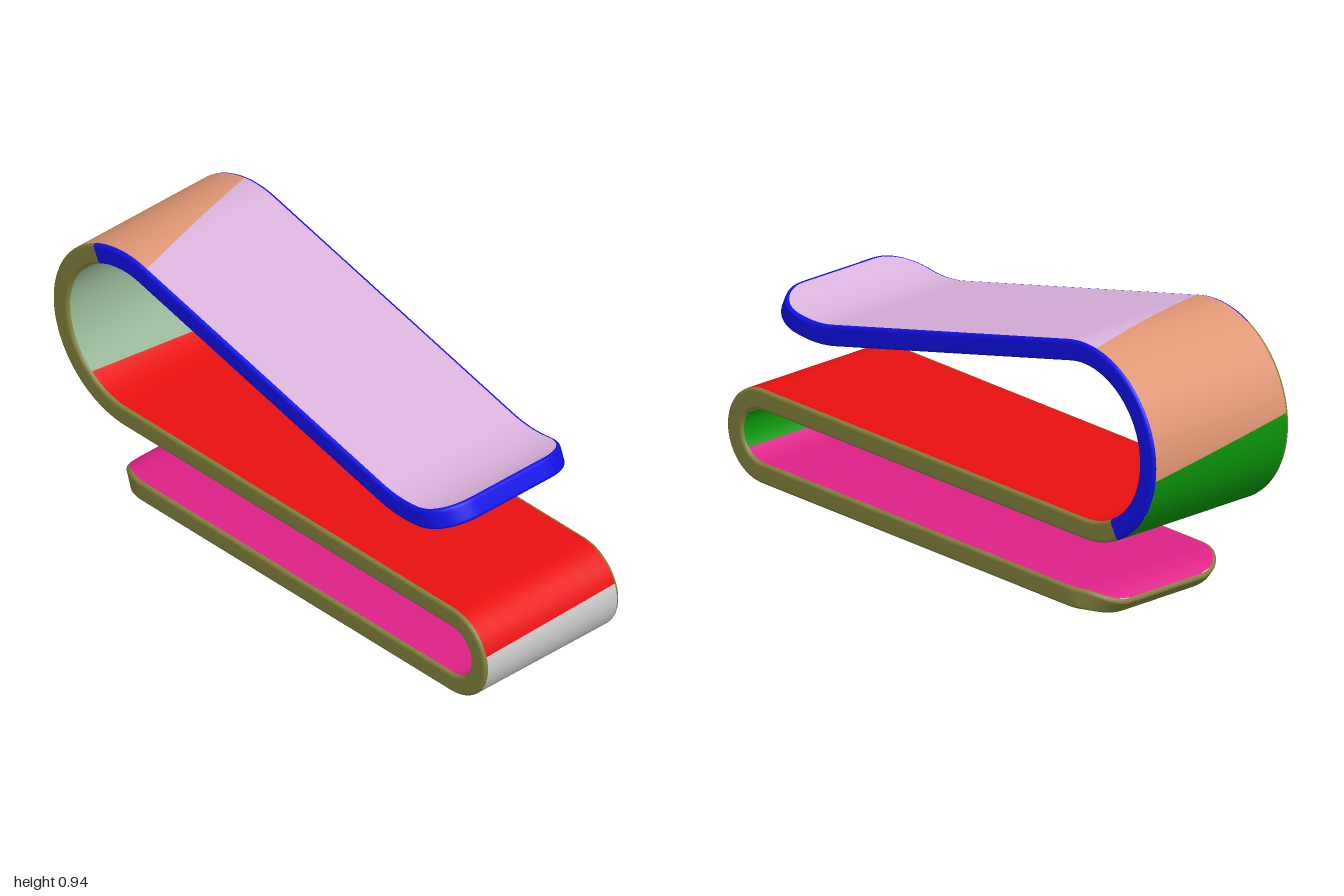
import * as THREE from 'three';

const H = 0.035;      // half thickness of the strip
const W = 0.292;      // half width of the strip
const R = 0.14;       // corner radius of both free ends
const F = 0.012;      // small rounding along the rim

// Centreline as [length, turn in radians], from the bottom end to the top end
const deg = Math.PI / 180;
const LEAN = 13.9 * deg;
const START = { x: -0.64 - 0.115 * Math.sin(46 * deg), y: -0.055 + 0.115 * Math.cos(46 * deg), a: 46 * deg };
const arc = (r, turn) => [r * Math.abs(turn), turn];
const PATH = [
  arc(0.115, -46 * deg),           // turned-down bottom tip
  [1.48, 0],                       // bottom run
  arc(0.125, Math.PI),             // tight bend
  [1.507, 0],                      // middle run
  arc(0.2975, -Math.PI - LEAN),    // wide bend
  [1.135, 0],                      // sloping top run
  arc(0.437, LEAN + 28 * deg),     // turned-up top tip
];
const LENGTH = PATH.reduce((sum, p) => sum + p[0], 0);

// Position and heading on the centreline at distance s
function centre(s) {
  let { x, y, a } = START;
  for (const [len, turn] of PATH) {
    const d = Math.min(Math.max(s, 0), len);
    const t = turn * d / len;
    const chord = turn ? 2 * (len / turn) * Math.sin(t / 2) : d;
    x += chord * Math.cos(a + t / 2);
    y += chord * Math.sin(a + t / 2);
    a += t;
    s -= len;
    if (s <= 0) break;
  }
  return { x, y, a };
}

// Strip coordinates (along, across, through) to space
function place(s, z, n) {
  const c = centre(s);
  return [c.x - n * Math.sin(c.a), c.y + n * Math.cos(c.a), z];
}

// Smooth grid surface from f(i, j)
function gridMesh(name, color, nu, nv, f, flip = false) {
  const pos = [], idx = [];
  for (let j = 0; j <= nv; j++) for (let i = 0; i <= nu; i++) pos.push(...f(i, j));
  for (let j = 0; j < nv; j++) for (let i = 0; i < nu; i++) {
    const a = j * (nu + 1) + i, b = a + 1, c = a + nu + 1, d = c + 1;
    if (flip) idx.push(a, c, b, b, c, d);
    else idx.push(a, b, c, b, d, c);
  }
  const geo = new THREE.BufferGeometry();
  geo.setAttribute('position', new THREE.Float32BufferAttribute(pos, 3));
  geo.setIndex(idx);
  geo.computeVertexNormals();
  const mesh = new THREE.Mesh(geo, new THREE.MeshStandardMaterial({ color }));
  mesh.name = name;
  return mesh;
}

// Half width of the broad faces, narrowing round the corners
function halfWidth(s) {
  const rc = R - F, d = Math.max(0, Math.min(s, LENGTH - s) - F);
  return W - F - (d < rc ? rc - Math.sqrt(rc * rc - (rc - d) ** 2) : 0);
}

// Broad face patch between two borders, each given as [s at back, s at front]
function facePatch(name, color, from, to, side) {
  const nu = 8, nv = Math.ceil((to[0] - from[0]) / 0.008);
  const mix = THREE.MathUtils.lerp;
  return gridMesh(name, color, nu, nv, (i, j) => {
    const t = i / nu;
    const s = mix(mix(from[0], from[1], t), mix(to[0], to[1], t), j / nv);
    return place(s, (2 * t - 1) * halfWidth(s), side * H);
  }, side < 0);
}

// Rim round one free end: straight, corner, end, corner, straight
function rim(name, color, sStart, sEnd, atTop) {
  const cs = atTop ? LENGTH - R : R, cz = W - R;
  const a0 = atTop ? 90 : -90, first = atTop ? 1 : -1;
  const key = [[sStart, first * W, 0, first]];
  for (let c = 0; c < 2; c++) for (let k = 0; k <= 12; k++) {
    const a = (a0 - 90 * c - 7.5 * k) * deg, u = Math.cos(a), v = Math.sin(a);
    key.push([cs + R * u, (c ? -first : first) * cz + R * v, u, v]);
  }
  key.push([sEnd, -first * W, 0, -first]);
  const pts = [key[0]];
  for (let k = 1; k < key.length; k++) {
    const p = key[k - 1], q = key[k];
    const n = Math.max(1, Math.ceil(Math.hypot(q[0] - p[0], q[1] - p[1]) / 0.015));
    for (let m = 1; m <= n; m++) pts.push(p.map((v, i) => v + (q[i] - v) * m / n));
  }
  // Cross-section of the rim as [inset, height]
  const section = [];
  for (const side of [-1, 1]) for (let k = 0; k <= 4; k++) {
    const a = (side < 0 ? 4 - k : k) / 4 * Math.PI / 2;
    section.push([F * (1 - Math.cos(a)), side * (H - F + F * Math.sin(a))]);
  }
  return gridMesh(name, color, pts.length - 1, section.length - 1, (i, j) => {
    const [s, z, u, v] = pts[i], [inset, n] = section[j];
    return place(s - u * inset, z - v * inset, n);
  });
}

// Chain of coloured patches along one side
function faceChain(group, side, patches) {
  let from = [F, F];
  for (const [name, color, back, front] of patches) {
    group.add(facePatch(name, color, from, [back, front], side));
    from = [back, front];
  }
}

export function createModel() {
  const group = new THREE.Group();
  group.name = 'bentStripClip';
  const end = LENGTH - F;

  // Side facing down on the bottom run
  faceChain(group, -1, [
    ['bottomUnderside', 0xcccccc, 1.815, 1.805],
    ['middleTop', 0xe81010, 3.604, 3.669],
    ['wideBendInside', 0x93b393, 4.45, 4.52],
    ['topUnderside', 0xe08a00, end, end],
  ]);
  // Side facing up on the bottom run
  faceChain(group, 1, [
    ['bottomTop', 0xdc2288, 1.68, 1.68],
    ['tightBendInside', 0x0a960a, 1.86, 1.86],
    ['middleUnderside', 0x88aa00, 3.53, 3.53],
    ['wideBendLowerOutside', 0x0a960a, 3.898, 3.976],
    ['wideBendUpperOutside', 0xe09674, 4.36, 4.49],
    ['topFace', 0xdab2dc, end, end],
  ]);
  // Narrow rims
  group.add(rim('upperRim', 0x1010e8, 4.272, 3.623, true));
  group.add(rim('lowerRim', 0x80803c, 3.623, 4.272, false));
  return group;
}
